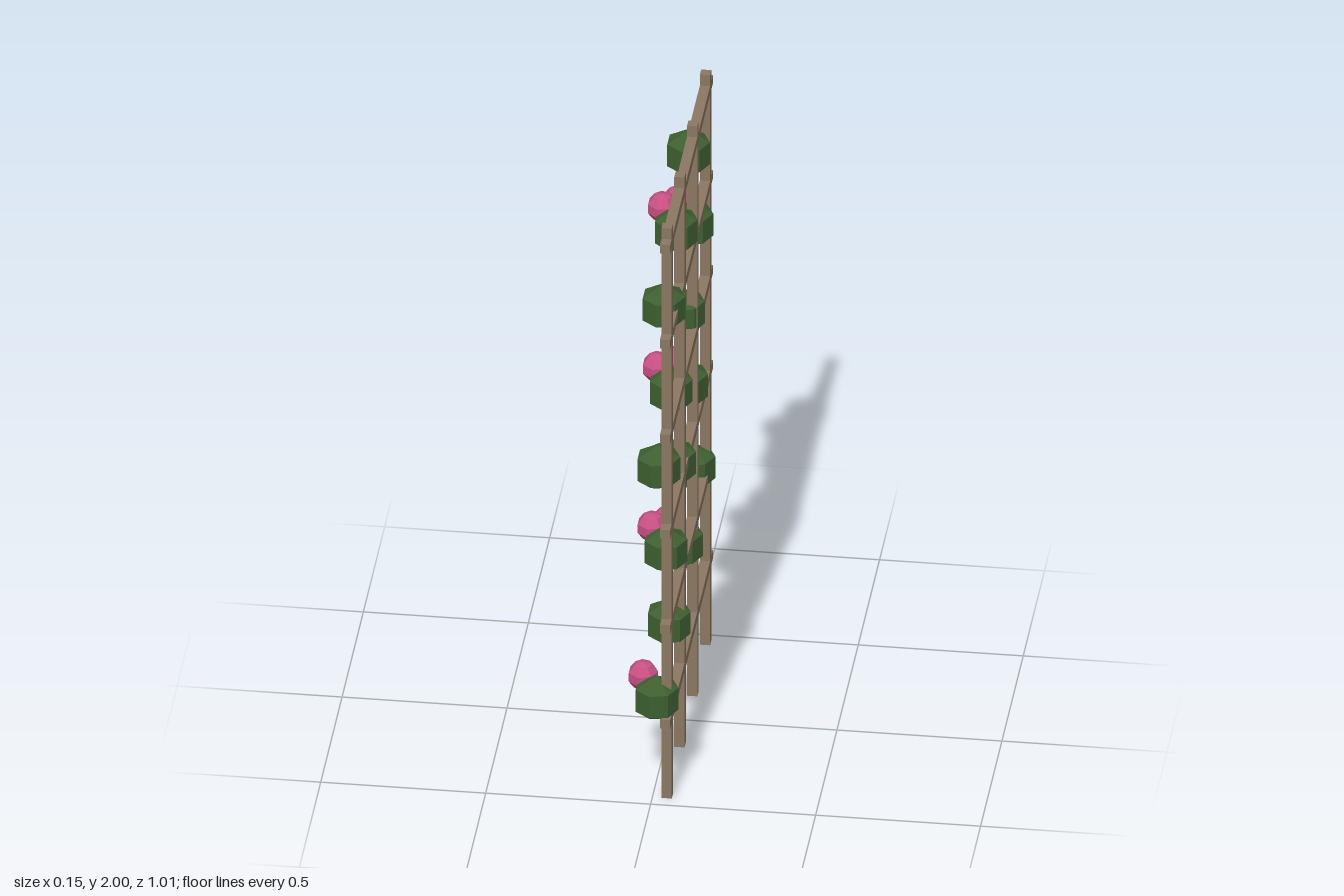
import * as THREE from 'three';

export function createModel() {
  const model = new THREE.Group();
  const mat = (name, color) => {
    const m = new THREE.MeshStandardMaterial({ color });
    m.name = name;
    return m;
  };
  const wood = mat('weathered wood', 0x8b7762);
  const leaf = mat('leaf green', 0x3d6030);
  const petal = mat('petal pink', 0xc85083);

  const add = (name, geometry, material, x, y, z) => {
    const mesh = new THREE.Mesh(geometry, material);
    mesh.name = name;
    mesh.position.set(x, y, z);
    model.add(mesh);
  };

  // Faceted ball with one vertical edge facing +x
  const ball = (radius, sides, rings) => {
    const g = new THREE.SphereGeometry(radius, sides, rings).rotateY(Math.PI).toNonIndexed();
    g.computeVertexNormals();
    return g;
  };

  // Trellis: four posts crossed by six rails
  const frameX = 0.043, frameZ = -0.006, bar = 0.031;
  const postGeo = new THREE.BoxGeometry(bar, 2, bar);
  const railGeo = new THREE.BoxGeometry(bar, bar, 1);
  for (let i = 0; i < 4; i++) add('post', postGeo, wood, frameX, 1, frameZ + 0.45 - 0.3 * i);
  for (let i = 0; i < 6; i++) add('rail', railGeo, wood, frameX, 0.28 + i / 3, frameZ);

  // Leaf clumps climbing the trellis as [y, z]; every second one bears a blossom
  const clumps = [
    [0.339, 0.438], [0.435, 0.152], [0.535, -0.138], [0.635, -0.426], [0.735, 0.228],
    [0.922, 0.028], [1.022, -0.26], [1.122, 0.394], [1.222, 0.106], [1.324, -0.183],
    [1.514, -0.38], [1.614, 0.274], [1.712, -0.014], [1.811, -0.302],
  ];
  const blooming = new Set([0, 2, 4, 6, 8, 10, 12]);
  const leafGeo = ball(0.0765, 7, 3);
  const petalGeo = ball(0.048, 7, 5);
  clumps.forEach(([y, z], i) => {
    add('leafClump', leafGeo, leaf, 0.01, y, z);
    if (blooming.has(i)) add('blossom', petalGeo, petal, -0.037, y + 0.046, z - 0.048);
  });

  return model;
}
